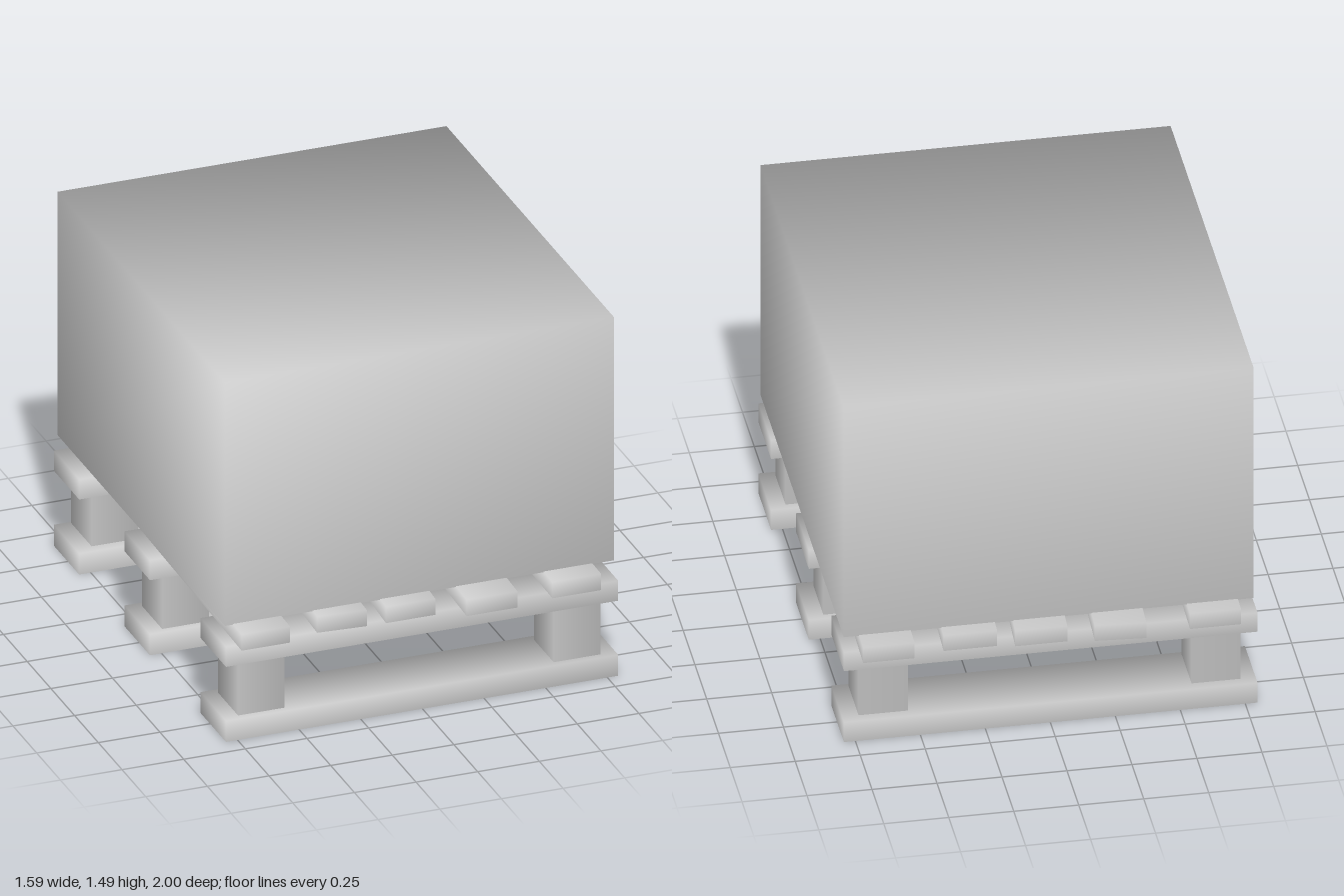
import * as THREE from 'three';
import { mergeVertices } from 'three/addons/utils/BufferGeometryUtils.js';

const material = new THREE.MeshStandardMaterial({ color: 0xcccccc, side: THREE.DoubleSide });

// Open-bottomed shell given by its extents, with welded corners and smooth normals;
// the top can be left off, and an optional rule moves each corner.
function shell(name, [x0, x1], [y0, y1], [z0, z1], { top = true, rule } = {}) {
  let g = new THREE.BoxGeometry(x1 - x0, y1 - y0, z1 - z0);
  g.deleteAttribute('uv');
  g.deleteAttribute('normal');
  // Face order is +x, -x, +y, -y, +z, -z with six indices each
  const index = Array.from(g.index.array);
  g.setIndex(index.filter((_, i) => {
    const face = Math.floor(i / 6);
    return face !== 3 && (top || face !== 2);
  }));
  g = mergeVertices(g);

  // Each corner's normal is the even average of the faces meeting there
  const p = g.attributes.position;
  const normals = [];
  const n = new THREE.Vector3();
  for (let i = 0; i < p.count; i++) {
    n.set(Math.sign(p.getX(i)), top && p.getY(i) > 0 ? 1 : 0, Math.sign(p.getZ(i))).normalize();
    normals.push(n.x, n.y, n.z);
  }
  g.setAttribute('normal', new THREE.Float32BufferAttribute(normals, 3));
  g.translate((x0 + x1) / 2, (y0 + y1) / 2, (z0 + z1) / 2);

  if (rule) {
    for (let i = 0; i < p.count; i++) {
      const [x, z] = rule(p.getX(i), p.getZ(i));
      p.setX(i, x);
      p.setZ(i, z);
    }
  }
  const mesh = new THREE.Mesh(g, material);
  mesh.name = name;
  return mesh;
}

export function createModel() {
  const model = new THREE.Group();
  model.name = 'loadedPallet';

  // Large crate resting on the slats
  model.add(shell('crate', [-0.783, 0.794], [0.465, 1.49], [-0.893, 0.872]));

  // Three supports: bottom runner, two blocks, upper crossbeam
  const supports = [
    { z: 0.784, blockZ: [0.68, 0.89], blockY: [0.088, 0.316] },
    { z: -0.017, blockZ: [-0.123, 0.09], blockY: [0.088, 0.316] },
    { z: -0.763, blockZ: [-0.871, -0.654], blockY: [0.097, 0.306] },
  ];
  for (const { z, blockZ, blockY } of supports) {
    const span = [z - 0.134, z + 0.134];
    model.add(shell('bottomRunner', [-0.797, 0.794], [0, 0.088], span));
    model.add(shell('crossbeam', [-0.797, 0.794], [0.316, 0.4], span));
    model.add(shell('rightBlock', [-0.737, -0.548], blockY, blockZ, { top: false }));
    model.add(shell('leftBlock', [0.543, 0.733], blockY, blockZ, { top: false }));
  }

  // Uneven deck slats: centre x at back and front, z of each end, half width, slant of the ends
  const slats = [
    [-0.623, -0.655, -0.966, 0.97, 0.098, 0],
    [-0.253, -0.333, -0.993, 0.935, 0.098, 0.007],
    [0.048, -0.058, -0.97, 0.944, 0.1, 0],
    [0.318, 0.252, -0.955, 0.997, 0.103, 0],
    [0.637, 0.606, -0.986, 0.97, 0.099, 0],
  ];
  for (const [xBack, xFront, zBack, zFront, half, slant] of slats) {
    model.add(shell('deckSlat', [-half, half], [0.4, 0.468], [zBack, zFront], {
      rule: (x, z) => [x + (z > 0 ? xFront : xBack), z + Math.sign(x) * slant],
    }));
  }
  return model;
}
